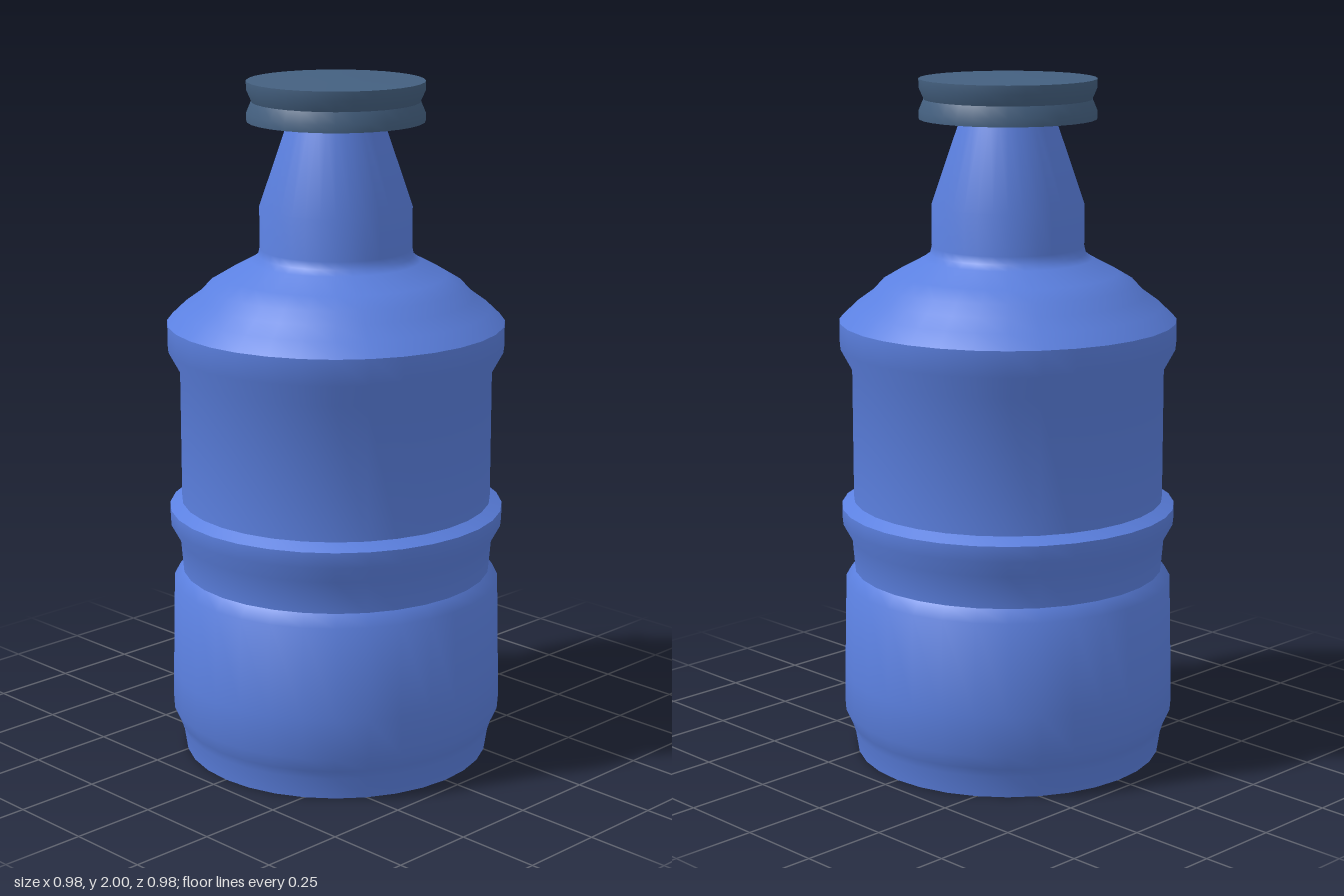
import * as THREE from 'three';
import { toCreasedNormals } from 'three/addons/utils/BufferGeometryUtils.js';

const SIDES = 32;

// Revolves [radius, height] pairs, keeping steep steps sharp
function turned(name, profile, material) {
  const points = profile.map(([r, y]) => new THREE.Vector2(r, y));
  const geometry = toCreasedNormals(new THREE.LatheGeometry(points, SIDES), 0.72);
  const mesh = new THREE.Mesh(geometry, material);
  mesh.name = name;
  return mesh;
}

export function createModel() {
  const bluePlastic = new THREE.MeshStandardMaterial({ color: 0x5b80e0 });
  bluePlastic.name = 'blue plastic';
  const slateCap = new THREE.MeshStandardMaterial({ color: 0x446080 });
  slateCap.name = 'slate cap';

  const group = new THREE.Group();
  group.name = 'bottle';

  group.add(turned('body', [
    // underside: central boss, recess and foot rim
    [0, 0.002], [0.11, 0.002], [0.154, 0.054], [0.336, 0.054], [0.40, 0], [0.452, 0],
    // lower wall
    [0.462, 0.065], [0.47, 0.09], [0.49, 0.135], [0.488, 0.25], [0.481, 0.525],
    // grip groove and ring
    [0.455, 0.56], [0.463, 0.655], [0.49, 0.705], [0.49, 0.75], [0.455, 0.77],
    // upper wall and shoulder band
    [0.455, 1.16], [0.49, 1.225], [0.49, 1.30],
    // rounded shoulder
    [0.448, 1.34], [0.40, 1.375], [0.37, 1.408], [0.32, 1.438], [0.245, 1.478],
    // neck
    [0.225, 1.493], [0.22, 1.515], [0.22, 1.635], [0.133, 1.89], [0, 1.89],
  ], bluePlastic));

  // Grooved cap with a barely domed top
  group.add(turned('cap', [
    [0, 1.88], [0.255, 1.88], [0.255, 1.903], [0.241, 1.936],
    [0.255, 1.968], [0.255, 1.994], [0.1, 1.998], [0, 2],
  ], slateCap));

  return group;
}
